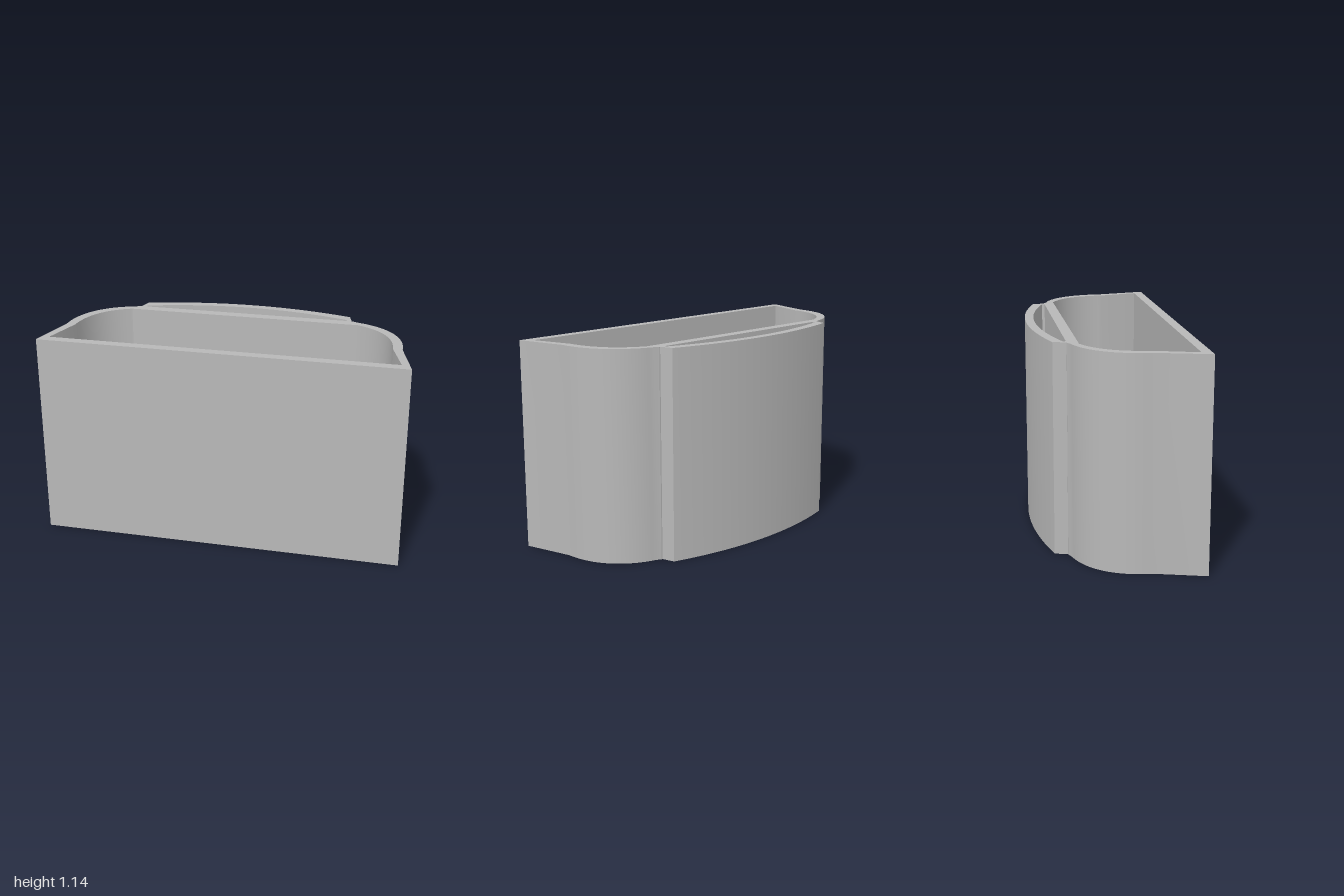
import * as THREE from 'three';
import { toCreasedNormals } from 'three/addons/utils/BufferGeometryUtils.js';

const HEIGHT = 1.14;

// Cubic corner sampled as [x, z] points
function curve(a, b, c, d, n = 20) {
  const v = (p) => new THREE.Vector2(p[0], p[1]);
  return new THREE.CubicBezierCurve(v(a), v(b), v(c), v(d)).getPoints(n).map((p) => [p.x, p.y]);
}

// Shallow arc from +x to -x, peaking at zMid
function bow(x, zEnd, zMid) {
  const c = 2 * zMid - zEnd;
  return new THREE.QuadraticBezierCurve(
    new THREE.Vector2(x, zEnd), new THREE.Vector2(0, c), new THREE.Vector2(-x, zEnd)
  ).getPoints(32).map((p) => [p.x, p.y]);
}

// Close a right-hand outline with its mirror image
const mirrored = (pts) => [...pts, ...pts.map(([x, z]) => [-x, z]).reverse()];

// Plan points are [x, z]; shape y is -z so the extrusion stands upright
const toVectors = (pts) => pts.map(([x, z]) => new THREE.Vector2(x, -z));

function upright(outline, hole) {
  const shape = new THREE.Shape(toVectors(outline));
  if (hole) shape.holes.push(new THREE.Path(toVectors(hole)));
  const geo = new THREE.ExtrudeGeometry(shape, { depth: HEIGHT, bevelEnabled: false });
  geo.rotateX(-Math.PI / 2);
  return toCreasedNormals(geo, 0.4);
}

export function createModel() {
  const model = new THREE.Group();
  const grey = new THREE.MeshStandardMaterial({ color: 0xb8b8b8 });
  grey.name = 'grey';

  const add = (name, geo) => {
    const mesh = new THREE.Mesh(geo, grey);
    mesh.name = name;
    model.add(mesh);
    return mesh;
  };

  // Main sleeve: flat front, flared sides, rounded back corners, open both ends
  const outer = mirrored([
    [1, 0.413],
    ...curve([0.93, 0.14], [0.93, -0.08], [0.8, -0.2], [0.65, -0.24]),
    [0.62, -0.255],
  ]);
  const inner = mirrored([
    [0.945, 0.36],
    ...curve([0.88, 0.14], [0.87, -0.04], [0.79, -0.14], [0.655, -0.197]),
  ]);
  add('sleeve', upright(outer, inner));

  // Bowed rear panel, leaving a thin slot in front of it
  add('rearPanel', upright([
    [0.615, -0.25],
    ...bow(0.595, -0.325, -0.413),
    [-0.615, -0.25],
    [-0.58, -0.25],
    ...bow(0.587, -0.27, -0.365).reverse(),
    [0.58, -0.25],
  ]));

  // Small square tabs on the inside of the front wall
  for (const y of [0.22, 0.4]) {
    add('innerTab', new THREE.BoxGeometry(0.09, 0.095, 0.02)).position.set(-0.095, y, 0.354);
  }

  return model;
}
